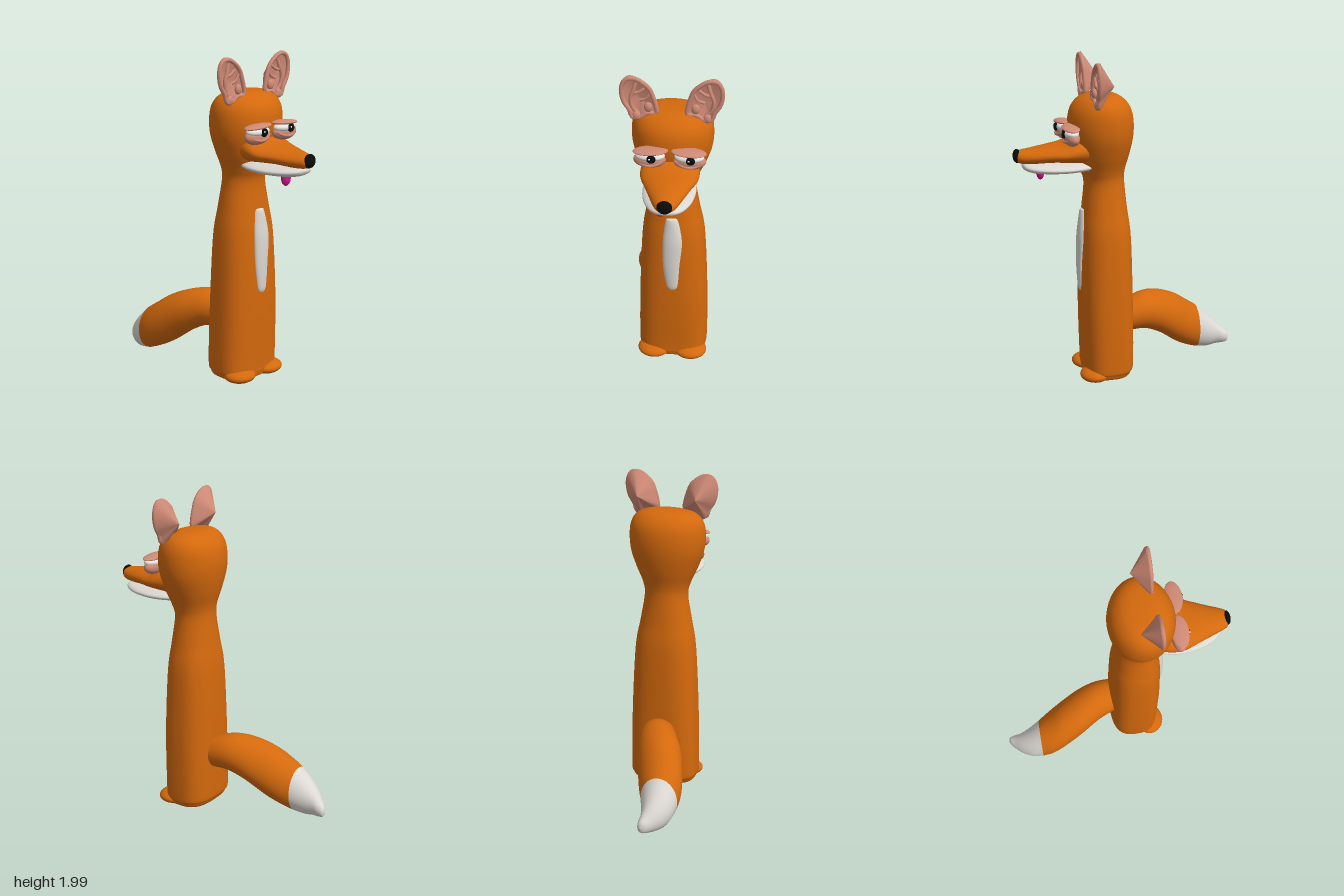
import * as THREE from 'three';

const mat = (name, color, side = THREE.FrontSide) => {
  const m = new THREE.MeshStandardMaterial({ color, side });
  m.name = name;
  return m;
};

export function createModel() {
  const orange = mat('orange fur', 0xd4690d);
  const white = mat('white fur', 0xdcd8d3);
  const pink = mat('pink skin', 0xcf8a76, THREE.DoubleSide);
  const black = mat('black', 0x0b0b0b);
  const eyeWhite = mat('eye white', 0xeeeeea);
  const magenta = mat('magenta tongue', 0xd4148a);

  const root = new THREE.Group();
  root.name = 'fox';

  const add = (name, geometry, material, parent = root) => {
    const mesh = new THREE.Mesh(geometry, material);
    mesh.name = name;
    parent.add(mesh);
    return mesh;
  };

  // Smooth skin over closed rings of points
  const skin = (rings) => {
    const n = rings[0].length, index = [];
    for (let k = 0; k < rings.length - 1; k++) {
      for (let i = 0; i < n; i++) {
        const j = (i + 1) % n, a = k * n + i, b = k * n + j, c = a + n, d = b + n;
        index.push(a, b, c, b, d, c);
      }
    }
    const g = new THREE.BufferGeometry().setFromPoints(rings.flat());
    g.setIndex(index);
    g.computeVertexNormals();
    return g;
  };

  // Loft along y or z. Rows: [position, centreU, centreV, radiusU, radiusV, squareness]
  const loft = (axis, rows, steps = 6, sides = 48) => {
    const full = rows.map((r) => (r.length < 6 ? [...r, 2] : r));
    const spline = new THREE.CubicInterpolant(full.map((_, i) => i), full.flat(), 6, new Float32Array(6));
    const rings = [], count = (rows.length - 1) * steps;
    for (let k = 0; k <= count; k++) {
      const [t, cu, cv, ru, rv, p] = spline.evaluate(k / steps);
      const ring = [];
      for (let i = 0; i < sides; i++) {
        const a = (i / sides) * Math.PI * 2, c = Math.cos(a), s = Math.sin(a);
        const u = Math.max(ru, 0) * Math.sign(c) * Math.abs(c) ** (2 / p);
        const v = Math.max(rv, 0) * Math.sign(s) * Math.abs(s) ** (2 / p);
        ring.push(axis === 'y' ? new THREE.Vector3(cu + u, t, cv - v) : new THREE.Vector3(cu + u, cv + v, t));
      }
      rings.push(ring);
    }
    return skin(rings);
  };

  const ball = (name, material, pos, radii, parent) => {
    const mesh = add(name, new THREE.SphereGeometry(1, 32, 20), material, parent);
    mesh.position.set(...pos);
    mesh.scale.set(...radii);
    return mesh;
  };

  const tube = (name, points, radius, material, parent, closed = false) => {
    const curve = new THREE.CatmullRomCurve3(points.map((p) => new THREE.Vector3(...p)), closed);
    return add(name, new THREE.TubeGeometry(curve, 48, radius, 8, closed), material, parent);
  };

  // Body, neck and head in one skin
  add('bodyAndHead', loft('y', [
    [0.015, 0, 0.165, 0, 0, 2.8],
    [0.017, 0, 0.165, 0.17, 0.12, 2.8],
    [0.05, 0, 0.16, 0.205, 0.148, 2.8],
    [0.12, 0, 0.155, 0.213, 0.155, 2.8],
    [0.5, 0.002, 0.16, 0.207, 0.16, 2.6],
    [0.9, 0.002, 0.16, 0.188, 0.152, 2.4],
    [1.08, 0, 0.162, 0.16, 0.135, 2.2],
    [1.24, 0, 0.163, 0.135, 0.122, 2],
    [1.32, 0, 0.172, 0.147, 0.135, 2],
    [1.42, 0, 0.178, 0.19, 0.168, 2],
    [1.52, 0, 0.18, 0.225, 0.19, 2],
    [1.61, 0, 0.182, 0.235, 0.195, 2],
    [1.69, 0, 0.182, 0.226, 0.178, 2],
    [1.745, 0, 0.18, 0.19, 0.135, 2],
    [1.772, 0, 0.175, 0.12, 0.075, 2],
    [1.778, 0, 0.175, 0, 0, 2],
  ]), orange);

  // Chest patch
  add('chestPatch', loft('y', [
    [0.558, 0.006, 0.315, 0, 0],
    [0.575, 0.006, 0.315, 0.026, 0.012],
    [0.62, 0.004, 0.315, 0.038, 0.018],
    [0.75, 0, 0.314, 0.05, 0.024],
    [0.9, 0.006, 0.306, 0.058, 0.03],
    [1.0, 0.005, 0.295, 0.05, 0.03],
    [1.065, 0.002, 0.287, 0.038, 0.028],
    [1.08, 0.002, 0.287, 0.03, 0.018],
    [1.083, 0.002, 0.287, 0, 0],
  ]), white);

  // Snout and lower jaw
  add('snout', loft('z', [
    [0.26, 0, 1.46, 0.15, 0.1],
    [0.35, 0, 1.452, 0.168, 0.078],
    [0.42, 0, 1.44, 0.162, 0.058],
    [0.5, 0, 1.435, 0.13, 0.051],
    [0.6, 0, 1.426, 0.09, 0.047],
    [0.66, 0, 1.424, 0.066, 0.041],
    [0.69, 0, 1.426, 0.045, 0.03],
    [0.7, 0, 1.428, 0, 0],
  ]), orange);
  add('lowerJaw', loft('z', [
    [0.26, 0, 1.356, 0.12, 0.03],
    [0.33, 0, 1.355, 0.146, 0.033],
    [0.42, 0, 1.353, 0.152, 0.034],
    [0.52, 0, 1.354, 0.136, 0.033],
    [0.6, 0, 1.358, 0.102, 0.03],
    [0.645, 0, 1.364, 0.06, 0.02],
    [0.66, 0, 1.366, 0, 0],
  ]), white);
  ball('nose', black, [0, 1.43, 0.688], [0.044, 0.041, 0.023]);
  ball('tongue', magenta, [-0.037, 1.315, 0.543], [0.032, 0.046, 0.024]);

  // Tail, from the tip forward to the root
  const tailRows = [
    [-0.705, -0.135, 0.09, 0, 0],
    [-0.695, -0.138, 0.092, 0.024, 0.032],
    [-0.665, -0.152, 0.1, 0.045, 0.052],
    [-0.62, -0.172, 0.118, 0.066, 0.08],
    [-0.56, -0.18, 0.141, 0.092, 0.114],
    [-0.49, -0.175, 0.178, 0.115, 0.142],
    [-0.42, -0.158, 0.216, 0.134, 0.152],
    [-0.33, -0.128, 0.272, 0.142, 0.158],
    [-0.21, -0.083, 0.342, 0.142, 0.138],
    [-0.1, -0.04, 0.378, 0.126, 0.12],
    [0, -0.012, 0.372, 0.108, 0.104],
    [0.08, 0, 0.36, 0.09, 0.09],
  ];
  add('tailTip', loft('z', tailRows.slice(0, 6)), white);
  add('tail', loft('z', tailRows.slice(5)), orange);

  // Ear outline, counter-clockwise from the inner base
  const outline = new THREE.CatmullRomCurve3([
    [0.08, 1.76], [0.127, 1.757], [0.167, 1.742], [0.19, 1.712], [0.222, 1.722], [0.238, 1.765], [0.274, 1.825],
    [0.288, 1.89], [0.278, 1.955], [0.24, 1.99], [0.193, 1.978], [0.127, 1.93], [0.095, 1.855],
  ].map(([x, y]) => new THREE.Vector3(x, y, 0)), true).getSpacedPoints(56).slice(0, 56);
  const earRing = (scale, z) => outline.map((p) => new THREE.Vector3(
    0.183 + (p.x - 0.183) * scale, 1.845 + (p.y - 1.845) * scale, z));

  for (const side of [1, -1]) {
    const label = side > 0 ? 'left' : 'right';

    // Foot
    ball(label + 'Foot', orange, [side * 0.115, 0.045, 0.255], [0.102, 0.043, 0.092]);

    // Ear: pointed back, dished front, rolled rim and inner folds
    const ear = new THREE.Group();
    ear.name = label + 'Ear';
    ear.scale.x = side;
    root.add(ear);
    add('earBack', skin([earRing(0, 0.143), earRing(0.5, 0.192), earRing(1, 0.24)]), pink, ear);
    add('earDish', skin([earRing(1, 0.24), earRing(0.94, 0.25), earRing(0.75, 0.236), earRing(0, 0.228)]), pink, ear);
    tube('earRim', earRing(0.93, 0.25).filter((_, i) => i % 4 === 0).map((p) => p.toArray()), 0.013, pink, ear, true);
    tube('earFold', [[0.19, 1.755, 0.24], [0.222, 1.79, 0.242], [0.232, 1.85, 0.244], [0.215, 1.9, 0.242],
      [0.2, 1.95, 0.236]], 0.011, pink, ear);
    tube('earFoldBranch', [[0.222, 1.88, 0.24], [0.19, 1.885, 0.24], [0.15, 1.91, 0.236]], 0.009, pink, ear);
    tube('earInnerRidge', [[0.12, 1.89, 0.242], [0.145, 1.85, 0.242], [0.18, 1.835, 0.238]], 0.009, pink, ear);
    ball('earKnob', pink, [0.132, 1.8, 0.25], [0.024, 0.03, 0.016], ear);
    ball('earLobe', pink, [0.2, 1.742, 0.25], [0.024, 0.028, 0.015], ear);

    // Sleepy eye between two heavy lids
    const eye = new THREE.Group();
    eye.name = label + 'Eye';
    root.add(eye);
    ball('lowerLid', pink, [side * 0.113, 1.542, 0.383], [0.092, 0.047, 0.046], eye);
    tube('lidBag', [[side * 0.03, 1.55, 0.4], [side * 0.07, 1.53, 0.42], [side * 0.12, 1.524, 0.426],
      [side * 0.17, 1.535, 0.41], [side * 0.195, 1.555, 0.385]], 0.009, pink, eye);
    ball('eyeball', eyeWhite, [side * 0.11, 1.572, 0.388], [0.084, 0.03, 0.048], eye);
    ball('upperLid', pink, [side * 0.108, 1.6, 0.386], [0.1, 0.014, 0.052], eye).rotation.z = -side * 0.06;
    ball('pupil', black, [side * 0.11 + 0.01, 1.57, 0.43], [0.026, 0.025, 0.014], eye);
    ball('glint', eyeWhite, [side * 0.11 + 0.001, 1.576, 0.442], [0.006, 0.006, 0.004], eye);
  }

  return root;
}
